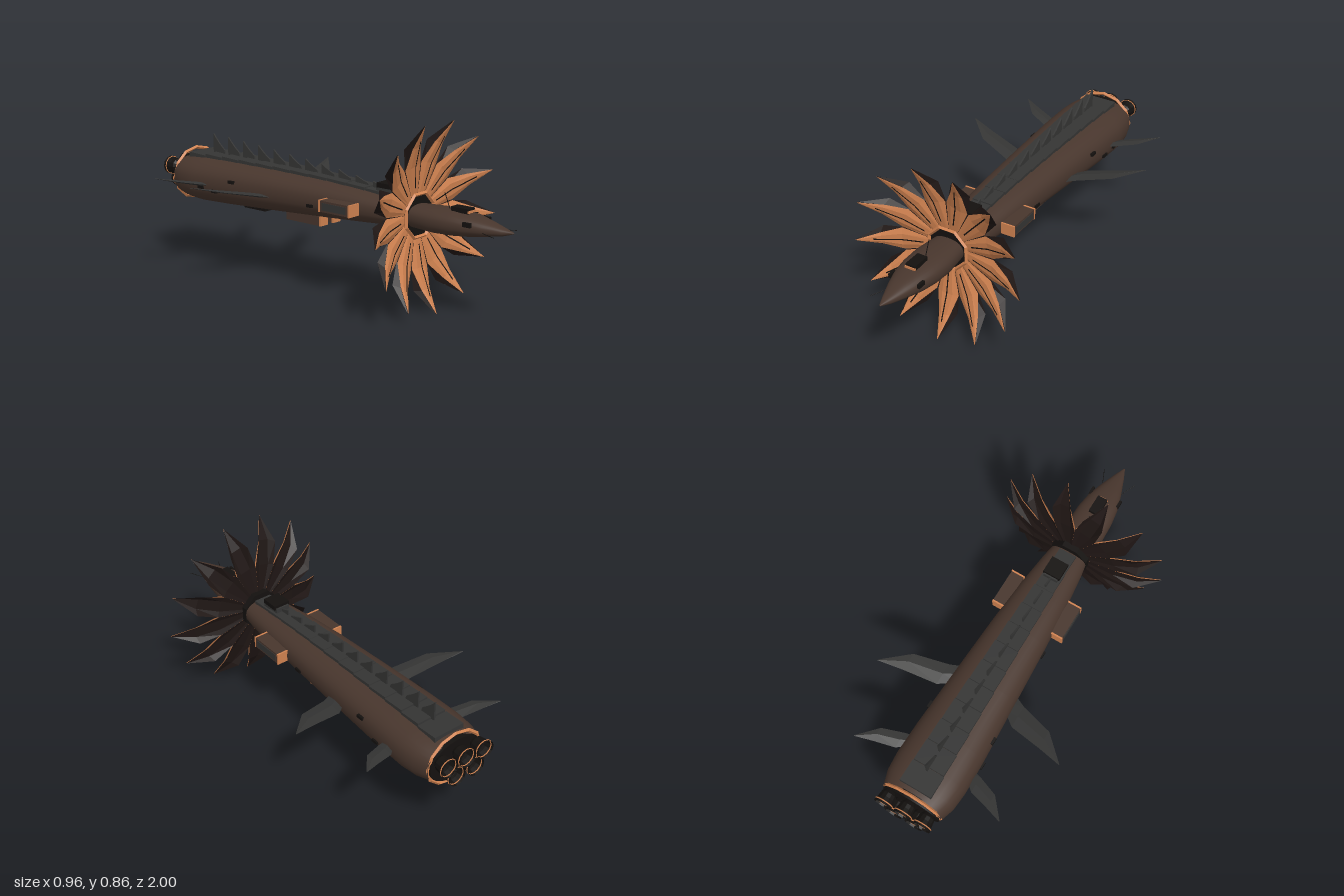
import * as THREE from 'three';

const BROWN = 0x48362d, DARK = 0x1e1513, GREY = 0x353534, COPPER = 0xd08250, BLACK = 0x14110f;
const CY = 0.44;

// Hull stations: z, half width, bottom y, top y
const NOSE = [
  [1, 0.003, 0.438, 0.443], [0.95, 0.025, 0.422, 0.455], [0.87, 0.055, 0.407, 0.474], [0.79, 0.08, 0.395, 0.49],
  [0.71, 0.092, 0.387, 0.496], [0.62, 0.095, 0.384, 0.497], [0.5, 0.08, 0.388, 0.492], [0.46, 0.07, 0.39, 0.49]];
const HULL = [
  [0.5, 0.085, 0.39, 0.497], [0.4, 0.102, 0.38, 0.508], [0.2, 0.125, 0.368, 0.525], [0, 0.14, 0.356, 0.537],
  [-0.3, 0.157, 0.34, 0.546], [-0.6, 0.174, 0.326, 0.55], [-0.76, 0.179, 0.321, 0.549], [-0.85, 0.172, 0.327, 0.545],
  [-0.92, 0.15, 0.34, 0.535]];

function at(z) {
  let i = 0;
  while (i < HULL.length - 2 && HULL[i + 1][0] > z) i++;
  const a = HULL[i], b = HULL[i + 1], t = (z - a[0]) / (b[0] - a[0]);
  return a.map((v, k) => v + (b[k] - v) * t);
}

function mesh(parent, name, geo, color, opts = {}) {
  const m = new THREE.Mesh(geo, new THREE.MeshStandardMaterial({ color, ...opts }));
  m.name = name;
  parent.add(m);
  return m;
}

function box(parent, name, size, pos, color) {
  const m = mesh(parent, name, new THREE.BoxGeometry(...size), color);
  m.position.set(...pos);
  return m;
}

// Surface through rows of points, optionally closed round each row
function grid(rows, closed) {
  const n = rows[0].length, idx = [];
  for (let i = 0; i < rows.length - 1; i++) {
    for (let j = 0; j < (closed ? n : n - 1); j++) {
      const a = i * n + j, b = i * n + (j + 1) % n;
      idx.push(a, a + n, b, b, a + n, b + n);
    }
  }
  const g = new THREE.BufferGeometry();
  g.setAttribute('position', new THREE.Float32BufferAttribute(rows.flat(2), 3));
  g.setIndex(idx);
  g.computeVertexNormals();
  return g;
}

function loft(stations) {
  const rows = stations.map(([z, w, lo, hi]) => Array.from({ length: 32 }, (_, j) => {
    const a = j / 32 * Math.PI * 2, c = Math.cos(a), s = Math.sin(a), e = 2 / 2.4;
    return [Math.sign(c) * Math.abs(c) ** e * w, (lo + hi) / 2 + Math.sign(s) * Math.abs(s) ** e * (hi - lo) / 2, z];
  }));
  return grid(rows, true);
}

function addCollar(root) {
  const collar = new THREE.Group();
  collar.name = 'petalCollar';
  root.add(collar);
  const flat = { flatShading: true, side: THREE.DoubleSide };
  // Rows: radius, half width, z of the middle, setback of the edges
  const back = [[0.09, 0.022, 0.488, 0.004], [0.22, 0.054, 0.51, 0.012], [0.335, 0.05, 0.546, 0.032], [0.435, 0.001, 0.603, 0]];
  const front = [[0.09, 0.022, 0.493, 0.002], [0.235, 0.055, 0.519, 0.012], [0.33, 0.029, 0.551, 0.008], [0.434, 0.001, 0.606, 0]];
  const sheet = rows => grid(rows.map(([r, w, z, d]) =>
    [[-w, r, z - d], [-w * 0.5, r, z - d * 0.1], [w * 0.5, r, z - d * 0.1], [w, r, z - d]]), false);
  const vein = [[0.13, 0.503], [0.235, 0.522], [0.36, 0.57]].map(([r, z]) => [[-0.003, r, z], [0.003, r, z]]);
  for (let i = 0; i < 13; i++) {
    const petal = new THREE.Group();
    petal.name = 'petal';
    petal.rotation.z = Math.PI + i / 13 * Math.PI * 2;
    mesh(petal, 'petalBack', sheet(back), DARK, flat);
    mesh(petal, 'petalFace', sheet(front), COPPER, flat);
    mesh(petal, 'petalVein', grid(vein, false), BLACK, flat);
    collar.add(petal);
  }
  const ring = mesh(collar, 'collarRing', new THREE.TorusGeometry(0.104, 0.009, 4, 8), COPPER, { flatShading: true });
  ring.rotation.z = Math.PI / 8;
  ring.position.z = 0.505;
  const plate = mesh(collar, 'collarPlate', new THREE.CylinderGeometry(0.1, 0.1, 0.04, 8), BLACK, { flatShading: true });
  plate.rotation.set(Math.PI / 2, Math.PI / 8, 0);
  plate.position.z = 0.48;
  collar.position.y = CY;
}

function addBack(root) {
  // Overlapping dorsal plates
  const count = 12, step = 1.33 / count;
  for (let i = 0; i < count; i++) {
    const z = 0.45 - (i + 0.5) * step, w = 0.042 + 0.04 * (i + 0.5) / count;
    const p = box(root, 'dorsalPlate', [w * 2, 0.03, step * 0.98], [0, at(z)[3] - 0.006, z], GREY);
    p.rotation.x = 0.05;
  }
  // Spines growing towards the tail
  for (let i = 0; i < 11; i++) {
    const z = 0.24 - i * 0.1025, y = at(z)[3] + 0.004, h = 0.03 + i * 0.0068;
    const s = new THREE.Shape();
    s.moveTo(-0.085, -0.01);
    s.lineTo(0, -0.01);
    s.lineTo(0, h);
    s.quadraticCurveTo(-0.035, h * 0.55, -0.075, h * 0.25);
    const g = new THREE.ExtrudeGeometry(s, { depth: 0.008, bevelEnabled: false, curveSegments: 4 });
    g.translate(0, 0, -0.004).rotateY(Math.PI / 2);
    mesh(root, 'spine', g, GREY, { flatShading: true }).position.set(0, y, z);
  }
  box(root, 'turretBase', [0.07, 0.04, 0.1], [0, 0.53, 0.335], GREY);
  box(root, 'turretTop', [0.085, 0.022, 0.085], [0, 0.553, 0.335], BLACK);
}

function addFins(root) {
  // Leaf sections: x, rear z, front z
  const fins = [
    [[0.13, -0.34, -0.25], [0.2, -0.395, -0.285], [0.36, -0.425, -0.335], [0.478, -0.452, -0.448]],
    [[0.15, -0.7, -0.65], [0.2, -0.745, -0.665], [0.3, -0.775, -0.705], [0.38, -0.802, -0.798]]];
  for (const leaf of fins) {
    for (const side of [-1, 1]) {
      const rows = leaf.map(([x, r, f], i) => {
        const y = 0.425 + (x - 0.13) * 0.22, m = (r + f) / 2, t = [0.009, 0.009, 0.006, 0.001][i];
        return [[side * x, y, f], [side * x, y + t, m], [side * x, y, r], [side * x, y - t, m]];
      });
      mesh(root, 'sideFin', grid(rows, true), GREY, { flatShading: true, side: THREE.DoubleSide });
    }
  }
}

function addPods(root) {
  for (const s of [-1, 1]) {
    // Cheek pods with copper rims
    box(root, 'sidePod', [0.065, 0.052, 0.18], [s * 0.153, 0.448, 0.165], BROWN);
    for (const z of [0.078, 0.252]) box(root, 'podRim', [0.069, 0.056, 0.008], [s * 0.153, 0.448, z], COPPER);
    box(root, 'podPanel', [0.006, 0.034, 0.14], [s * 0.185, 0.448, 0.165], GREY);
    box(root, 'podStrut', [0.06, 0.03, 0.1], [s * 0.115, 0.448, 0.165], BLACK);
    // Belly pods
    box(root, 'bellyPod', [0.05, 0.045, 0.21], [s * 0.045, 0.338, -0.125], BROWN);
    box(root, 'bellyPodRim', [0.053, 0.047, 0.01], [s * 0.045, 0.338, -0.02], COPPER);
    // Flank ports
    for (const [z, y] of [[-0.02, 0.425], [-0.5, 0.47], [-0.61, 0.41], [-0.7, 0.42]]) {
      box(root, 'flankPort', [0.02, 0.014, 0.035], [s * (at(z)[1] - 0.004), y, z], BLACK);
    }
    box(root, 'noseWindow', [0.012, 0.02, 0.04], [s * 0.074, 0.46, 0.81], BLACK);
    const whisker = mesh(root, 'whisker', new THREE.CylinderGeometry(0.0015, 0.0015, 0.12, 5), BLACK);
    whisker.rotation.set(Math.PI / 2, 0, -s * 0.4);
    whisker.position.set(s * 0.062, 0.43, 0.9);
  }
  box(root, 'bellyHatch', [0.12, 0.02, 0.14], [0, 0.336, -0.45], BLACK);
  box(root, 'noseSensor', [0.05, 0.022, 0.09], [0, 0.503, 0.735], BLACK);
  box(root, 'noseSensorRim', [0.052, 0.01, 0.008], [0, 0.5, 0.781], COPPER);
  const mast = mesh(root, 'antenna', new THREE.CylinderGeometry(0.002, 0.002, 0.08, 5), BLACK);
  mast.position.set(0, 0.525, 0.655);
  mast.rotation.x = -0.4;
}

function addEngines(root) {
  const ring = mesh(root, 'tailRing', new THREE.TorusGeometry(0.137, 0.01, 4, 12), COPPER, { flatShading: true });
  ring.scale.set(1.06, 0.92, 0.8);
  ring.position.set(0, CY, -0.915);
  const cap = mesh(root, 'tailPlate', new THREE.CylinderGeometry(0.13, 0.13, 0.03, 24), BLACK);
  cap.rotation.x = Math.PI / 2;
  cap.scale.set(1.12, 1, 0.78);
  cap.position.set(0, CY, -0.915);
  // Open bells, three above two
  const bell = [[0.022, 0], [0.036, 0.02], [0.038, 0.04], [0.045, 0.075]].map(p => new THREE.Vector2(...p));
  for (const [x, y] of [[-0.1, 0.48], [0, 0.485], [0.1, 0.48], [-0.053, 0.412], [0.053, 0.412]]) {
    const nozzle = new THREE.Group();
    nozzle.name = 'engine';
    mesh(nozzle, 'bell', new THREE.LatheGeometry(bell, 12), BLACK, { side: THREE.DoubleSide, flatShading: true });
    const rim = mesh(nozzle, 'bellRim', new THREE.TorusGeometry(0.043, 0.003, 4, 12), COPPER);
    rim.rotation.x = Math.PI / 2;
    rim.position.y = 0.062;
    nozzle.rotation.x = -Math.PI / 2;
    nozzle.position.set(x, y, -0.925);
    root.add(nozzle);
  }
}

export function createModel() {
  const root = new THREE.Group();
  root.name = 'flowerShip';
  mesh(root, 'nose', loft(NOSE), BROWN);
  mesh(root, 'hull', loft(HULL), BROWN);
  addCollar(root);
  addBack(root);
  addFins(root);
  addPods(root);
  addEngines(root);
  return root;
}
